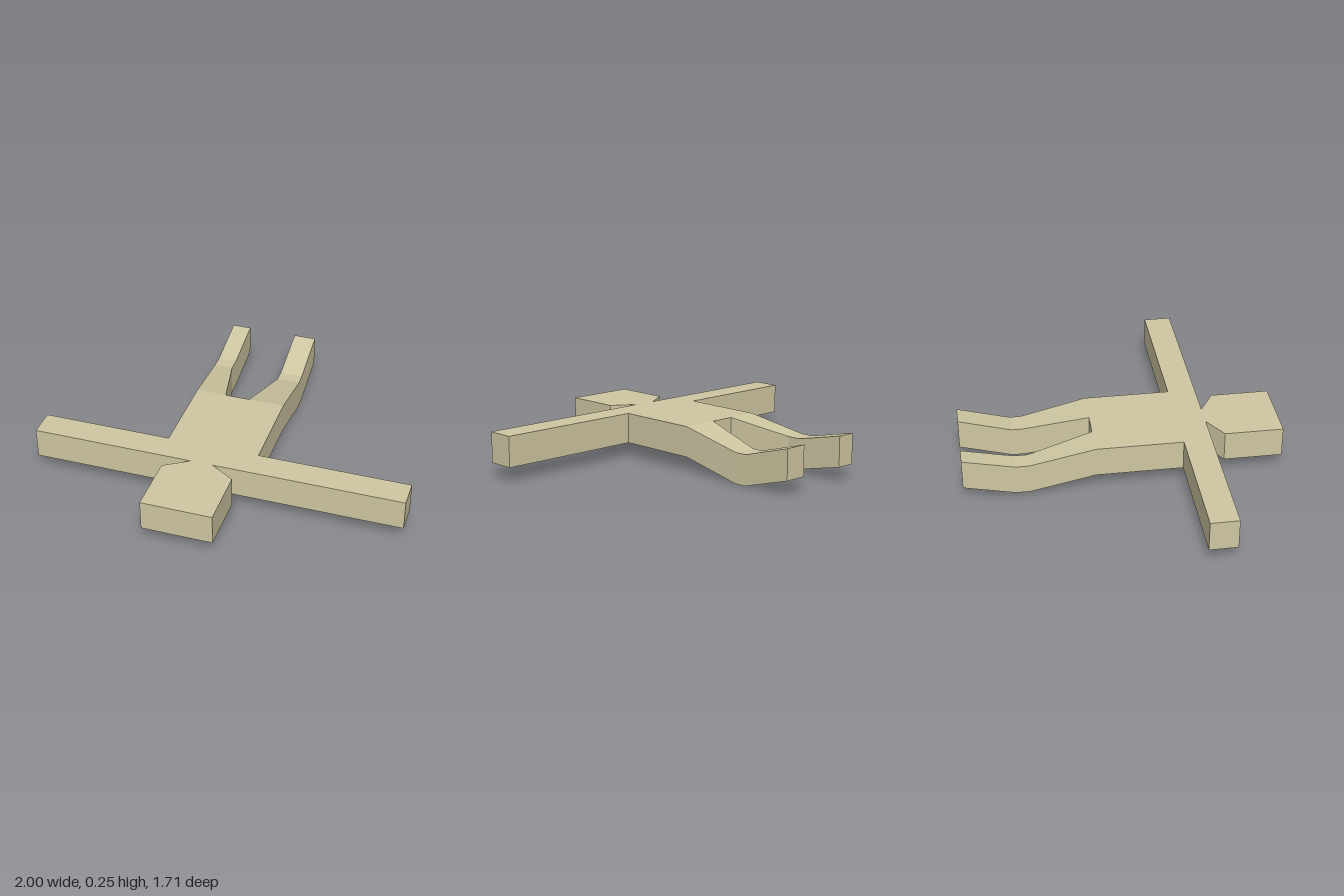
import * as THREE from 'three';

const BOTTOM = 0.08, TOP = 0.245, THICK = TOP - BOTTOM;

// Lofts rectangular sections [z, xMin, xMax, yMin], listed from front to back
function loft(name, material, sections) {
  const rings = sections.map(([z, x0, x1, y = BOTTOM]) => [
    [x0, y, z], [x1, y, z], [x1, y + THICK, z], [x0, y + THICK, z],
  ]);
  const positions = [];
  const quad = (a, b, c, d) => positions.push(...a, ...b, ...c, ...a, ...c, ...d);
  quad(...rings[0]);
  for (let s = 0; s < rings.length - 1; s++) {
    const a = rings[s], b = rings[s + 1];
    for (let i = 0; i < 4; i++) {
      const j = (i + 1) % 4;
      quad(a[i], b[i], b[j], a[j]);
    }
  }
  quad(...rings[rings.length - 1].slice().reverse());
  const geometry = new THREE.BufferGeometry();
  geometry.setAttribute('position', new THREE.Float32BufferAttribute(positions, 3));
  geometry.computeVertexNormals();
  const mesh = new THREE.Mesh(geometry, material);
  mesh.name = name;
  return mesh;
}

export function createModel() {
  const group = new THREE.Group();
  group.name = 'lyingFigure';
  const sand = new THREE.MeshStandardMaterial({ color: 0xcfc7a2 });
  sand.name = 'sand';

  group.add(
    // Square head tapering to a narrow neck
    loft('head', sand, [[0.855, -0.26, 0.12], [0.54, -0.26, 0.12], [0.46, -0.13, -0.01]]),
    // Outstretched arms in one straight bar
    loft('arms', sand, [[0.46, -1, 1], [0.31, -1, 1]]),
    loft('torso', sand, [[0.31, -0.305, 0.19], [-0.155, -0.305, 0.19]]),
    // Legs dip at the knee and rise to the feet
    loft('leftLeg', sand, [
      [-0.155, -0.005, 0.19], [-0.505, 0.055, 0.182, 0],
      [-0.57, 0.055, 0.18, 0], [-0.855, 0.055, 0.178],
    ]),
    loft('rightLeg', sand, [
      [-0.155, -0.305, -0.14], [-0.505, -0.32, -0.217, 0.02],
      [-0.58, -0.32, -0.217, 0.02], [-0.855, -0.32, -0.217],
    ]),
  );
  return group;
}
